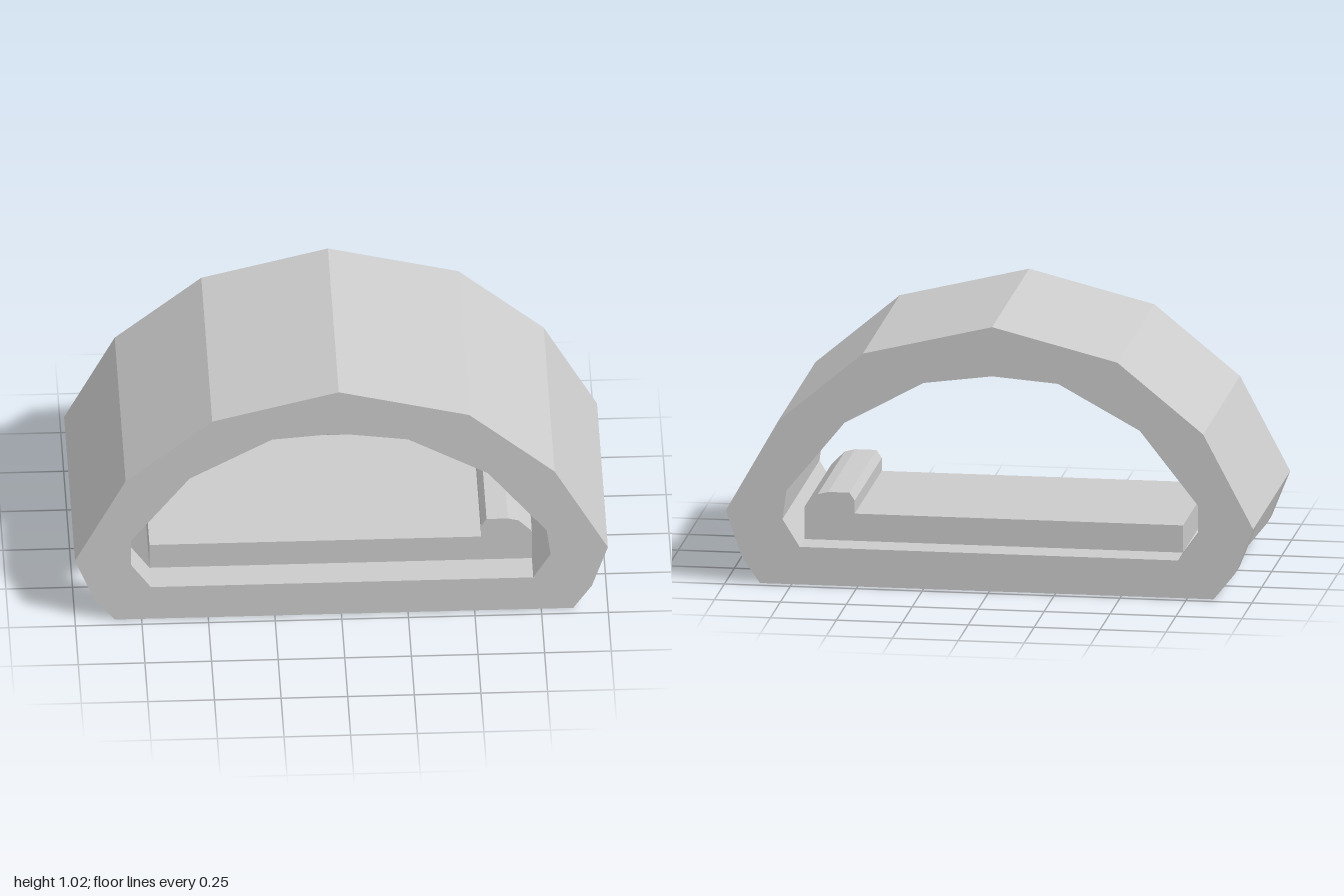
import * as THREE from 'three';

// Outer outline, from the bottom left corner round to the lower left side
const OUTER = [[-0.85, 0], [0.87, 0], [0.94, 0.1], [1, 0.275], [0.8, 0.63], [0.48, 0.9],
  [-0.01, 1.02], [-0.485, 0.9], [-0.81, 0.635], [-1, 0.275], [-0.93, 0.1]];

// Tunnel outline, from the left widest point over the top to the left end of the floor
const INNER = [[-0.79, 0.36], [-0.57, 0.64], [-0.26, 0.81], [-0.01, 0.83], [0.25, 0.795],
  [0.55, 0.63], [0.77, 0.36], [0.785, 0.25], [0.72, 0.145], [-0.715, 0.145], [-0.79, 0.25]];

// Raised floor plate with a rounded ridge at its left end
const PLATE = [[-0.715, 0.145], [0.72, 0.145], [0.72, 0.27], [0.705, 0.285], [0.67, 0.32],
  [0.63, 0.33], [0.55, 0.33], [0.53, 0.3], [0.53, 0.25], [-0.715, 0.25]];

const HALF = 0.465; // half depth of the shell
const INSET = 0.34; // half depth of the plate and the side opening

const toPoints = (list) => list.map(([x, y]) => new THREE.Vector2(x, y));

function createModel() {
  const model = new THREE.Group();
  const material = new THREE.MeshStandardMaterial({ color: 0xcccccc, flatShading: true });

  const addSlice = (name, outline, z0, z1, hole) => {
    const shape = new THREE.Shape(toPoints(outline));
    if (hole) shape.holes.push(new THREE.Path(toPoints(hole)));
    const geometry = new THREE.ExtrudeGeometry(shape, { depth: z1 - z0, bevelEnabled: false });
    geometry.translate(0, 0, z0);
    const mesh = new THREE.Mesh(geometry, material);
    mesh.name = name;
    model.add(mesh);
  };

  // Closed rims at both ends of the tunnel
  addSlice('frontRim', OUTER, INSET, HALF, INNER);
  addSlice('backRim', OUTER, -HALF, -INSET, INNER);

  // Middle shell, cut open low on one side with a ramp up to the floor
  addSlice('middleShell', [...OUTER.slice(0, 10), ...INNER.slice(0, 10)], -INSET, INSET);

  // Floor plate with ridge
  addSlice('floorPlate', PLATE, -INSET, INSET);

  return model;
}

export { createModel };
